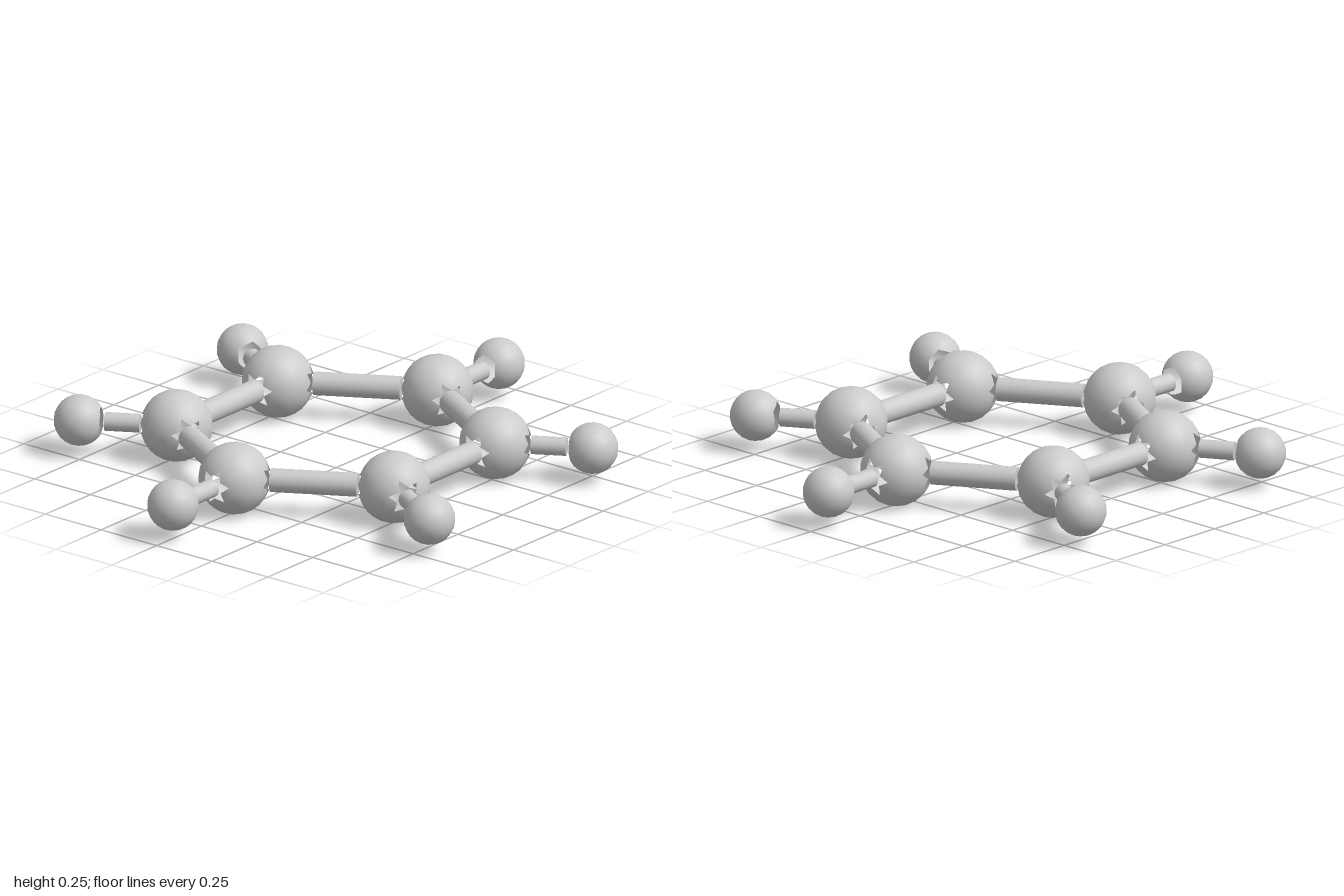
import * as THREE from 'three';

const material = new THREE.MeshStandardMaterial({ color: 0xcccccc, side: THREE.DoubleSide });

const HEIGHT = 0.128;                       // level of the flat ring
const BIG = { radius: 0.128, ring: 0.565, opening: 0.39 };
const SMALL = { radius: 0.091, ring: 0.909, opening: 0.52 };

const direction = (angle) => new THREE.Vector3(Math.cos(angle), 0, Math.sin(angle));

// Geodesic ball, turned so a face centre points up, open where rods arrive
function ball(name, { radius, opening }, rodAngles) {
  const phi = (1 + Math.sqrt(5)) / 2;
  const x = new THREE.Vector3(-1 / phi, phi, -1).normalize();
  const y = new THREE.Vector3(1, 1, 1).normalize();
  const z = new THREE.Vector3().crossVectors(x, y);
  const sphere = new THREE.IcosahedronGeometry(radius, 3);
  sphere.applyMatrix4(new THREE.Matrix4().makeBasis(x, y, z).transpose());

  const rods = rodAngles.map(direction);
  const source = sphere.attributes.position;
  const positions = [];
  const corner = new THREE.Vector3();
  for (let i = 0; i < source.count; i += 3) {
    const centre = new THREE.Vector3();
    const triangle = [];
    for (let k = 0; k < 3; k++) {
      corner.fromBufferAttribute(source, i + k);
      centre.add(corner);
      triangle.push(corner.x, corner.y, corner.z);
    }
    if (rods.every((rod) => centre.angleTo(rod) > opening)) positions.push(...triangle);
  }

  // Round normals point straight out from the centre
  const geometry = new THREE.BufferGeometry();
  geometry.setAttribute('position', new THREE.Float32BufferAttribute(positions, 3));
  geometry.setAttribute('normal', new THREE.Float32BufferAttribute(positions.map((v) => v / radius), 3));
  const mesh = new THREE.Mesh(geometry, material);
  mesh.name = name;
  return mesh;
}

// Rod running between the surfaces of two balls
function rod(name, from, to, fromGap, toGap, radius) {
  const along = to.clone().sub(from);
  const distance = along.length();
  along.normalize();
  const geometry = new THREE.CylinderGeometry(radius, radius, distance - fromGap - toGap, 20);
  const mesh = new THREE.Mesh(geometry, material);
  mesh.name = name;
  mesh.quaternion.setFromUnitVectors(new THREE.Vector3(0, 1, 0), along);
  mesh.position.copy(from).addScaledVector(along, (distance + fromGap - toGap) / 2);
  return mesh;
}

export function createModel() {
  const model = new THREE.Group();
  model.name = 'hexagonalRingOfBalls';
  const step = Math.PI / 3;
  const place = (radius, angle) => direction(angle).multiplyScalar(radius).setY(HEIGHT);

  for (let i = 0; i < 6; i++) {
    const angle = i * step;
    const inner = place(BIG.ring, angle);
    const next = place(BIG.ring, angle + step);
    const outer = place(SMALL.ring, angle);

    // Ring ball joins its two neighbours and the outer ball
    const ringBall = ball('ringBall', BIG, [angle, angle + 2 * step, angle - 2 * step]);
    ringBall.position.copy(inner);

    const outerBall = ball('outerBall', SMALL, [angle + Math.PI]);
    outerBall.position.copy(outer);

    model.add(
      ringBall,
      outerBall,
      rod('ringRod', inner, next, BIG.radius, BIG.radius, 0.042),
      rod('outerRod', inner, outer, BIG.radius, SMALL.radius, 0.033),
    );
  }
  return model;
}
